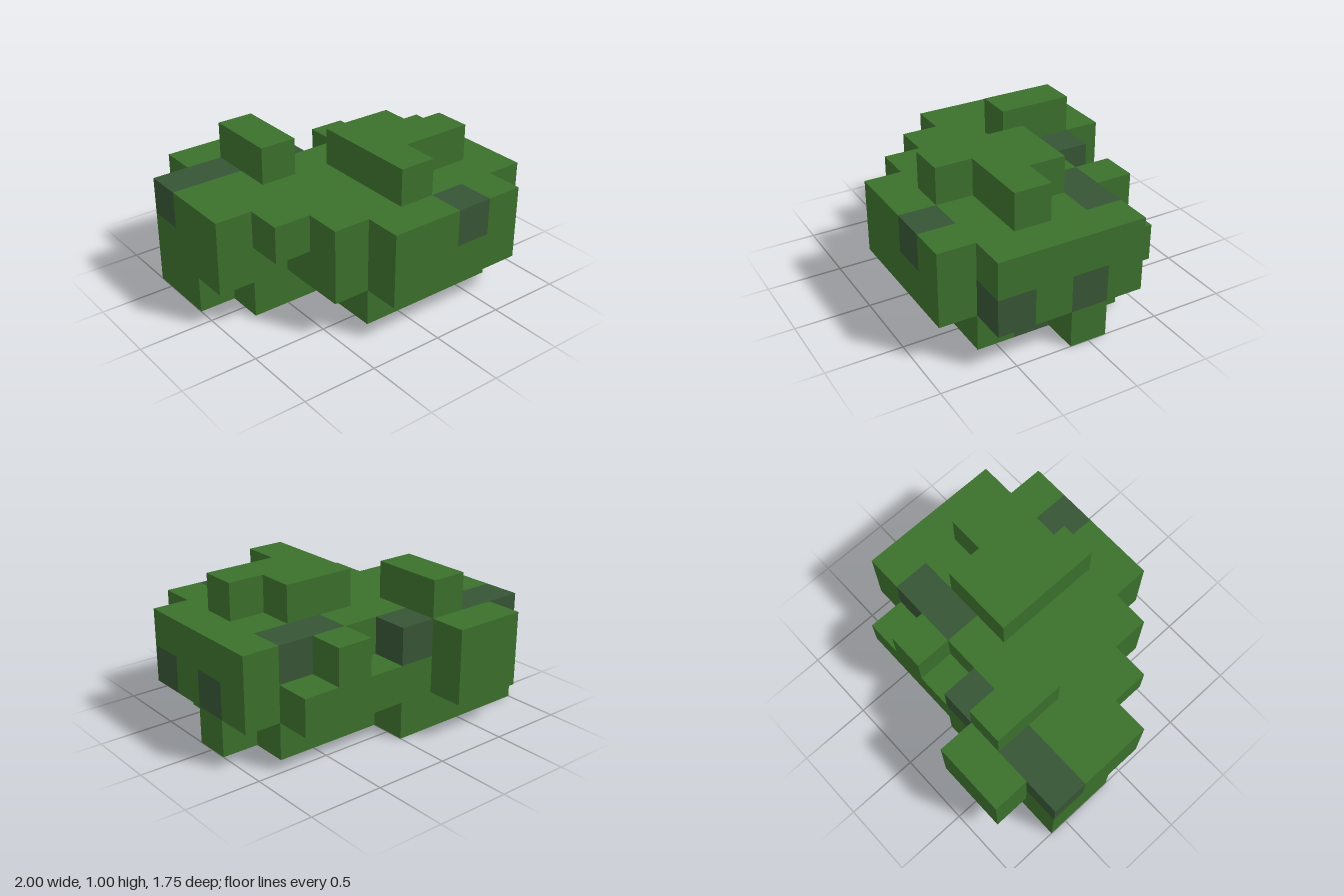
import * as THREE from 'three';
import { mergeGeometries } from 'three/addons/utils/BufferGeometryUtils.js';

const CELL = 0.25;

// Each layer, bottom to top: rows from back to front, each a list of [first, last] cell spans along x
const LAYERS = [
  { name: 'lowerFoliage', rows: [[], [[0, 3]], [[0, 6]], [[1, 7]], [[3, 6]], [[3, 6]], []] },
  { name: 'middleFoliage', rows: [[[1, 2]], [[0, 6]], [[0, 7]], [[0, 7]], [[2, 7]], [[2, 7]], [[3, 6]]] },
  { name: 'upperFoliage', rows: [[[1, 2]], [[0, 3], [5, 5]], [[0, 7]], [[0, 7]], [[1, 7]], [[2, 7]], [[3, 6]]] },
  { name: 'topTufts', rows: [[], [[2, 2]], [[2, 2]], [[4, 5]], [[4, 6]], [[4, 4]], []] },
];

// Darker leaf clumps as x, layer, row
const DARK = new Set([
  '0,2,1', '1,2,1', '3,2,1', '5,2,2', '6,2,2', '5,2,6',
  '7,1,5', '7,1,3', '6,0,4', '6,0,3', '3,0,2',
]);

const filled = (i, j, k) =>
  (LAYERS[j]?.rows[k] ?? []).some(([first, last]) => i >= first && i <= last);

// The six sides of a cell: outward direction and the turn that faces a plane that way
const SIDES = [
  { d: [0, 0, 1], r: [0, 0] },
  { d: [0, 0, -1], r: [0, Math.PI] },
  { d: [1, 0, 0], r: [0, Math.PI / 2] },
  { d: [-1, 0, 0], r: [0, -Math.PI / 2] },
  { d: [0, 1, 0], r: [-Math.PI / 2, 0] },
  { d: [0, -1, 0], r: [Math.PI / 2, 0] },
];

// Exposed faces of one cell
function cellFaces(i, j, k) {
  const centre = [-1 + (i + 0.5) * CELL, (j + 0.5) * CELL, -0.875 + (k + 0.5) * CELL];
  return SIDES
    .filter(({ d }) => !filled(i + d[0], j + d[1], k + d[2]))
    .map(({ d, r }) => new THREE.PlaneGeometry(CELL, CELL)
      .rotateX(r[0])
      .rotateY(r[1])
      .translate(...centre.map((c, a) => c + d[a] * CELL / 2)));
}

export function createModel() {
  const leafGreen = new THREE.MeshStandardMaterial({ color: 0x3b702c });
  leafGreen.name = 'leafGreen';
  const shadeGreen = new THREE.MeshStandardMaterial({ color: 0x375535 });
  shadeGreen.name = 'shadeGreen';

  const bush = new THREE.Group();
  bush.name = 'bush';

  LAYERS.forEach(({ name, rows }, j) => {
    const leaves = [];
    const clumps = [];
    rows.forEach((spans, k) => spans.forEach(([first, last]) => {
      for (let i = first; i <= last; i++) {
        (DARK.has(`${i},${j},${k}`) ? clumps : leaves).push(...cellFaces(i, j, k));
      }
    }));

    const layer = new THREE.Group();
    layer.name = name;
    const add = (faces, material, part) => {
      if (!faces.length) return;
      const mesh = new THREE.Mesh(mergeGeometries(faces), material);
      mesh.name = part;
      layer.add(mesh);
    };
    add(leaves, leafGreen, 'leaves');
    add(clumps, shadeGreen, 'darkClumps');
    bush.add(layer);
  });

  return bush;
}
